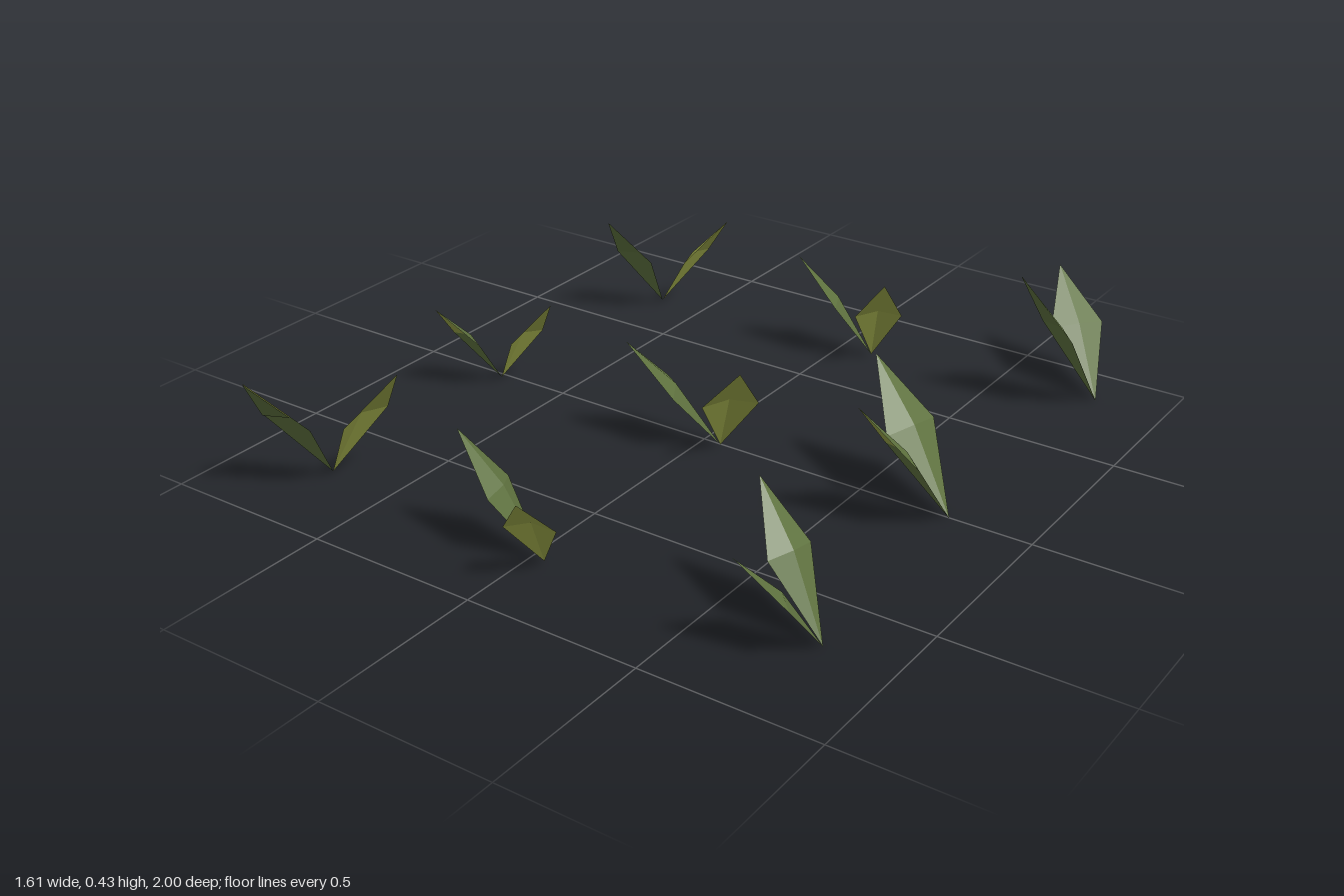
import * as THREE from 'three';

const yellowGreen = new THREE.MeshStandardMaterial({ name: 'yellowGreen', color: 0x99a448, flatShading: true, side: THREE.DoubleSide });
const deepGreen = new THREE.MeshStandardMaterial({ name: 'deepGreen', color: 0x5f723f, flatShading: true, side: THREE.DoubleSide });

// kinds of leaf, as [blade, tip facet, optional underside of the tip facet]
const Y = [yellowGreen, yellowGreen];
const G = [deepGreen, deepGreen];
const P = [deepGreen, yellowGreen];
const U = [deepGreen, yellowGreen, deepGreen];

// each sprout: base [x, z], then two leaves as [tip x, tip z, tip height, kind]
const sprouts = [
  { base: [-0.654, -0.712], leaves: [[-0.41, -0.722, 0.322, Y], [-0.684, -0.473, 0.337, G]] },
  { base: [0.105, -0.739], leaves: [[-0.078, -0.607, 0.324, G], [0.242, -0.556, 0.322, Y]] },
  { base: [0.797, -0.833], leaves: [[0.579, -1.0, 0.318, G], [0.638, -0.606, 0.434, G]] },
  { base: [-0.716, 0.018], leaves: [[-0.502, 0.038, 0.293, Y], [-0.769, 0.228, 0.282, P]] },
  { base: [0.055, 0.003], leaves: [[-0.14, 0.168, 0.327, G], [0.238, 0.184, 0.338, Y]] },
  { base: [0.767, 0.003], leaves: [[0.489, -0.074, 0.367, G], [0.622, 0.246, 0.382, P]] },
  { base: [-0.717, 0.72], leaves: [[-0.446, 0.725, 0.367, Y], [-0.712, 1.0, 0.377, U]] },
  { base: [0.04, 0.757], leaves: [[-0.167, 0.82, 0.338, G], [0.13, 0.959, 0.283, Y]] },
  { base: [0.804, 0.686], leaves: [[0.585, 0.627, 0.357, G], [0.68, 0.879, 0.292, P]] },
];

// kite-shaped leaf with a raised midrib, made of four facets
function makeLeaf([bx, bz], [tx, tz, h, kind]) {
  const base = new THREE.Vector3(bx, 0, bz);
  const tip = new THREE.Vector3(tx, h, tz);
  const dir = tip.clone().sub(base);
  const across = new THREE.Vector3(-dir.z, 0, dir.x).multiplyScalar(0.3);
  const centre = new THREE.Vector3(bx + dir.x * 0.53, h * 0.56, bz + dir.z * 0.53);
  const left = centre.clone().add(across);
  const right = centre.clone().sub(across);
  const up = across.clone().cross(dir).normalize();
  if (up.y < 0) up.negate();
  const rib = centre.clone().addScaledVector(up, 0.018);

  const tipFacet = [left, rib, tip];
  const corners = [base, rib, left, base, right, rib, rib, right, tip, ...tipFacet];
  // thin lining under the tip facet
  if (kind.length > 2) corners.push(...tipFacet.map((p) => p.clone().addScaledVector(up, -0.003)));
  const geometry = new THREE.BufferGeometry().setFromPoints(corners);
  geometry.computeVertexNormals();
  geometry.addGroup(0, 9, 0);
  for (let i = 1; i < kind.length; i++) geometry.addGroup(6 + i * 3, 3, i);
  return new THREE.Mesh(geometry, kind);
}

export function createModel() {
  const model = new THREE.Group();
  model.name = 'sproutPatch';
  sprouts.forEach(({ base, leaves }, i) => {
    const sprout = new THREE.Group();
    sprout.name = `sprout${i + 1}`;
    leaves.forEach((spec, j) => {
      const leaf = makeLeaf(base, spec);
      leaf.name = j === 0 ? 'firstLeaf' : 'secondLeaf';
      sprout.add(leaf);
    });
    model.add(sprout);
  });
  return model;
}
